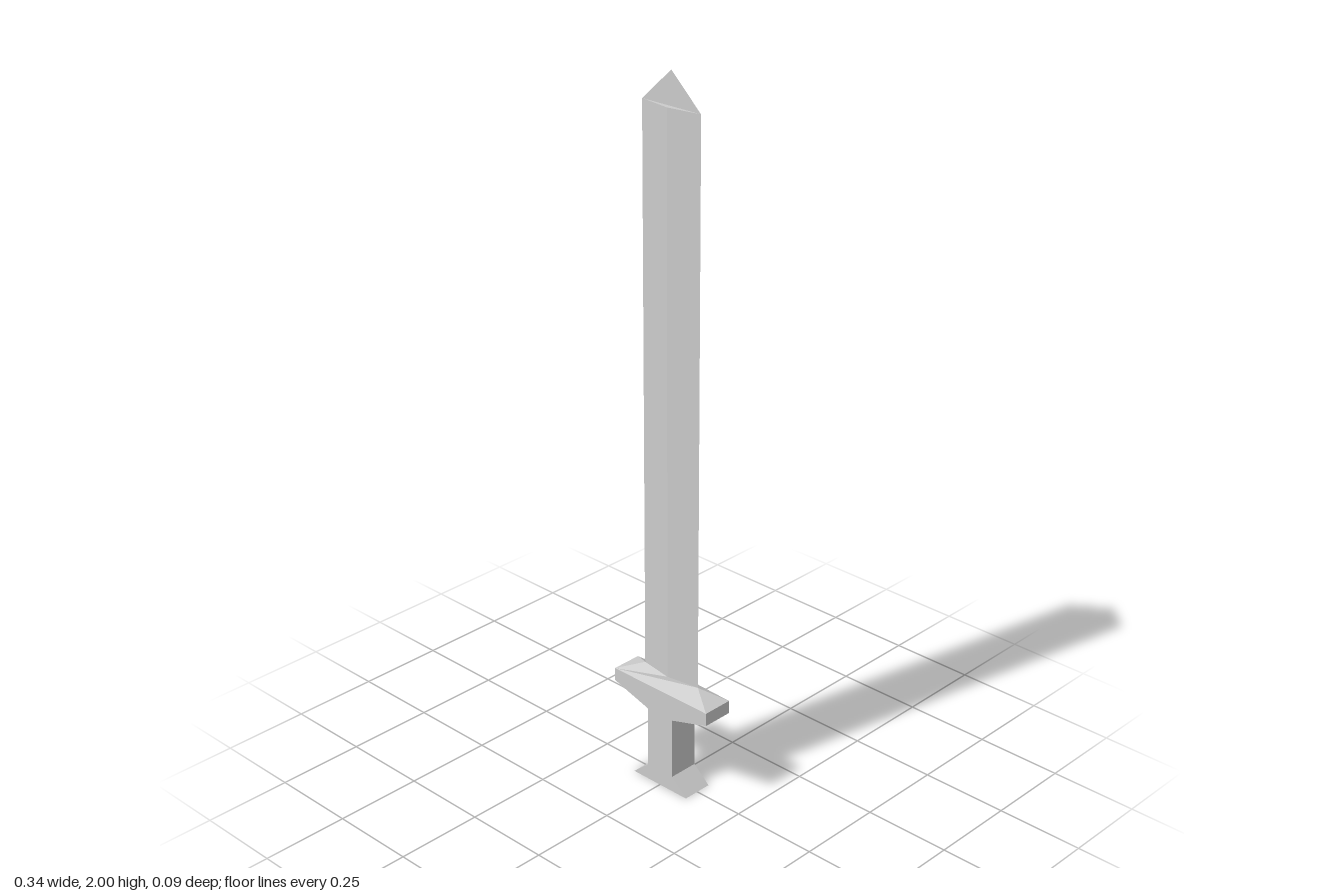
import * as THREE from 'three';

const material = new THREE.MeshStandardMaterial({ color: 0xcccccc, flatShading: true, side: THREE.DoubleSide });

// Flat-shaded mesh from a list of triangles, each three [x, y, z] corners
function facetMesh(name, triangles) {
  const geometry = new THREE.BufferGeometry();
  geometry.setAttribute('position', new THREE.Float32BufferAttribute(triangles.flat(2), 3));
  geometry.computeVertexNormals();
  const mesh = new THREE.Mesh(geometry, material);
  mesh.name = name;
  return mesh;
}

// Half turn about the y axis
const turn = ([x, y, z]) => [-x, y, -z];
const withTurned = (triangles) => [...triangles, ...triangles.map((t) => t.map(turn))];

export function createModel() {
  const model = new THREE.Group();
  model.name = 'sword';

  const bladeHalf = 0.098, bladeThick = 0.015, bladeBase = 0.33, shoulder = 1.91;
  const guardHalf = 0.17, guardTop = 0.3, depth = 0.045;

  // Pommel, grip and crossguard share one outline of constant depth
  const right = [[0.098, 0], [0.045, 0.045], [0.045, 0.225], [guardHalf, 0.262], [guardHalf, guardTop]];
  const outline = [...right, ...right.map(([x, y]) => [-x, y]).reverse()];
  const hiltShape = new THREE.Shape(outline.map(([x, y]) => new THREE.Vector2(x, y)));
  const hiltGeometry = new THREE.ExtrudeGeometry(hiltShape, { depth: depth * 2, bevelEnabled: false });
  hiltGeometry.translate(0, 0, -depth);
  const hilt = new THREE.Mesh(hiltGeometry, material);
  hilt.name = 'hilt';
  model.add(hilt);

  // Sloped guard top narrowing to the foot of the blade
  const cornerL = [-guardHalf, guardTop, depth];
  const cornerR = [guardHalf, guardTop, depth];
  const cornerBackR = [guardHalf, guardTop, -depth];
  const footL = [-bladeHalf, bladeBase, 0];
  const footR = [bladeHalf, bladeBase, 0];
  const footFront = [0, bladeBase, bladeThick];
  model.add(facetMesh('guardSlope', withTurned([
    [cornerL, cornerR, footR],
    [cornerL, footR, footFront],
    [cornerL, footFront, footL],
    [cornerR, cornerBackR, footR],
  ])));

  // Blade of diamond section with flat shoulders
  const topL = [-bladeHalf, shoulder, 0];
  const topR = [bladeHalf, shoulder, 0];
  const topFront = [0, shoulder, bladeThick];
  model.add(facetMesh('blade', withTurned([
    [footL, footFront, topFront], [footL, topFront, topL],
    [footFront, footR, topR], [footFront, topR, topFront],
    [topL, topFront, topR],
  ])));

  // Thin flat point rising from the middle of the shoulders
  model.add(facetMesh('bladeTip', [[topL, topR, [0, 2, 0]]]));

  return model;
}
